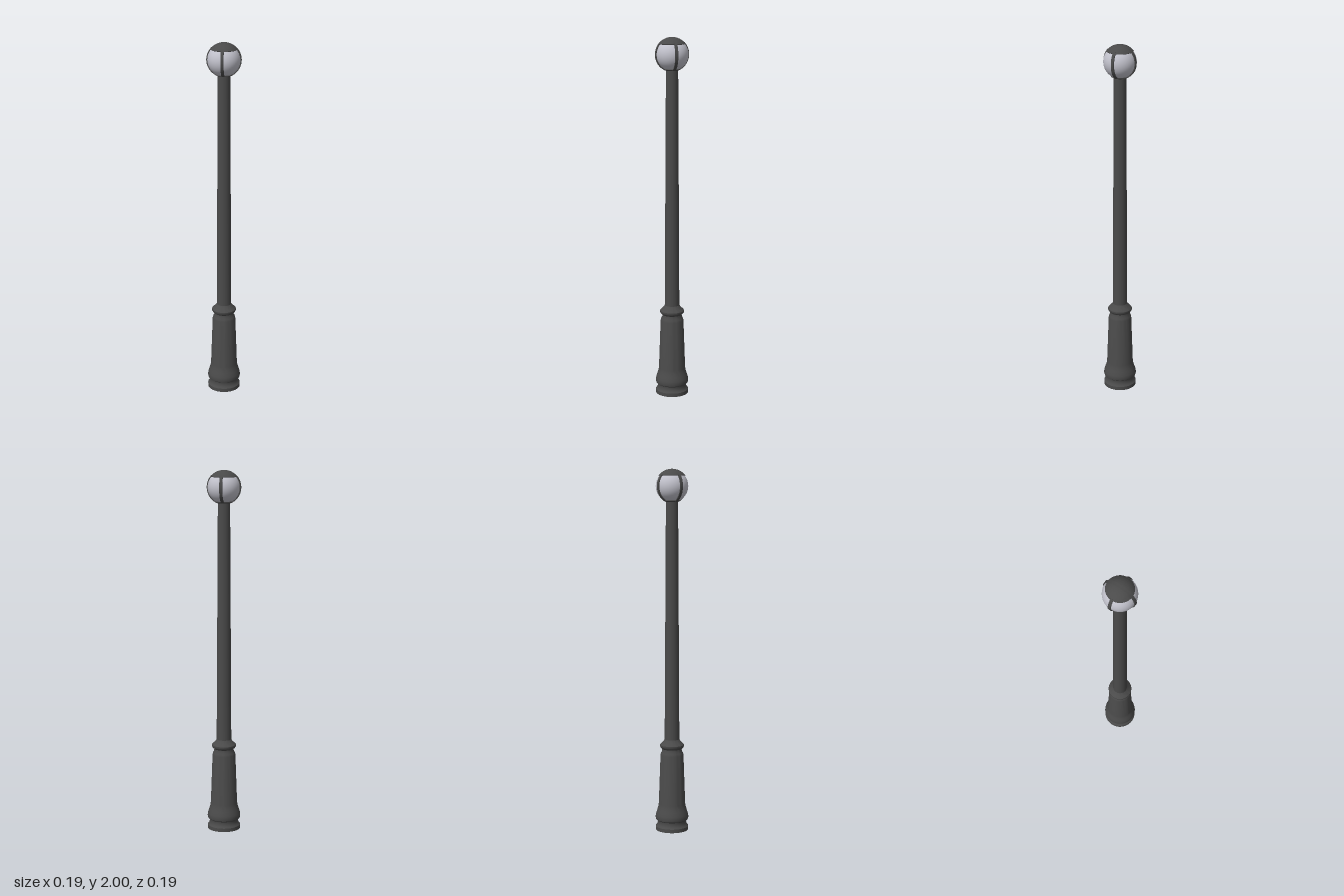
import * as THREE from 'three';
import { toCreasedNormals } from 'three/addons/utils/BufferGeometryUtils.js';

const CENTRE = 1.908; // height of the globe's centre
const R = 0.092;      // outer radius of the globe's frame
const GLASS = 0.088;

const iron = new THREE.MeshStandardMaterial({ color: 0x4a4a4a });
const glass = new THREE.MeshStandardMaterial({ color: 0xc2c2cc });

function add(group, name, geometry, material) {
  const mesh = new THREE.Mesh(geometry, material);
  mesh.name = name;
  group.add(mesh);
  return mesh;
}

// Turned part from [radius, height] pairs, listed bottom to top
function turned(profile) {
  const points = profile.map(([r, y]) => new THREE.Vector2(r, y));
  return toCreasedNormals(new THREE.LatheGeometry(points, 48), 0.6);
}

// Points on a circle round the globe's centre, angles in degrees from the top
function arc(radius, from, to, steps = 14) {
  return Array.from({ length: steps + 1 }, (_, i) => {
    const a = THREE.MathUtils.degToRad(from + (to - from) * i / steps);
    return [Math.max(0, radius * Math.sin(a)), CENTRE + radius * Math.cos(a)];
  });
}

export function createModel() {
  const lamp = new THREE.Group();
  lamp.name = 'streetLamp';

  // Moulded pedestal with a foot, a bulge, a tapered body and a collar
  add(lamp, 'pedestal', turned([
    [0, 0], [0.091, 0], [0.091, 0.02], [0.084, 0.028], [0.079, 0.042], [0.081, 0.054],
    [0.089, 0.06], [0.092, 0.072], [0.09, 0.088], [0.083, 0.11], [0.077, 0.13], [0.074, 0.148],
    [0.064, 0.425], [0.061, 0.437], [0.055, 0.447], [0.054, 0.46],
    [0.062, 0.466], [0.067, 0.474], [0.067, 0.483], [0.06, 0.491], [0.05, 0.499], [0.04, 0.515],
  ]), iron);

  // Slightly tapered pole
  const pole = add(lamp, 'pole', new THREE.CylinderGeometry(0.033, 0.041, 1.35, 32), iron);
  pole.position.y = 0.49 + 1.35 / 2;

  // Glass globe
  const globe = add(lamp, 'globe', new THREE.SphereGeometry(GLASS, 48, 32), glass);
  globe.position.y = CENTRE;

  // Domed cap and the cup that holds the globe
  add(lamp, 'cap', turned([...arc(GLASS - 0.002, 51.5, 51.5, 1).slice(1), ...arc(R, 51.5, 0)]), iron);
  add(lamp, 'cup', turned([...arc(R, 180, 149), ...arc(GLASS - 0.002, 149, 149, 1).slice(1)]), iron);

  // Four curved ribs joining the cap and the cup
  const outline = [...arc(R + 0.001, 46, 154, 28), ...arc(GLASS - 0.003, 154, 46, 28)];
  const shape = new THREE.Shape(outline.map(([r, y]) => new THREE.Vector2(r, y)));
  const ribGeometry = new THREE.ExtrudeGeometry(shape, { depth: 0.016, bevelEnabled: false });
  ribGeometry.translate(0, 0, -0.008);
  const rib = toCreasedNormals(ribGeometry, 0.6);
  for (let i = 0; i < 4; i++) {
    add(lamp, 'rib' + (i + 1), rib, iron).rotation.y = i * Math.PI / 2;
  }

  return lamp;
}
